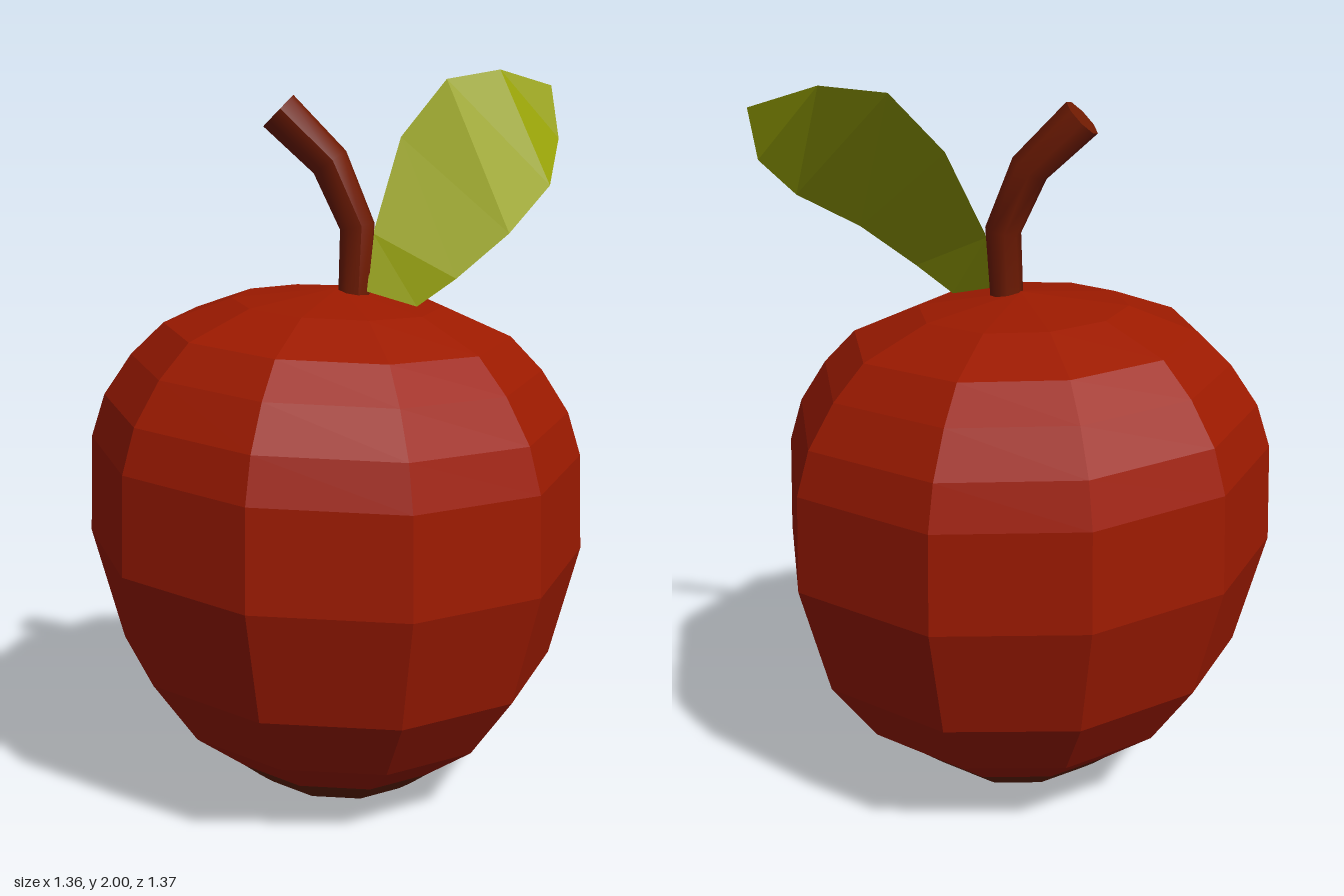
import * as THREE from 'three';

// Flat-faced surface from rows of points; closed rows wrap round.
function skin(rows, closed) {
  const out = [];
  const tri = (a, b, c) => {
    const area = b.clone().sub(a).cross(c.clone().sub(a)).length();
    if (area > 1e-6) out.push(...a.toArray(), ...b.toArray(), ...c.toArray());
  };
  for (let i = 0; i < rows.length - 1; i++) {
    const low = rows[i], high = rows[i + 1], n = low.length;
    for (let j = 0; j < (closed ? n : n - 1); j++) {
      const k = (j + 1) % n;
      tri(low[j], high[j], high[k]);
      tri(low[j], high[k], low[k]);
    }
  }
  const geo = new THREE.BufferGeometry();
  geo.setAttribute('position', new THREE.Float32BufferAttribute(out, 3));
  geo.computeVertexNormals();
  return geo;
}

// Widest cross-section of the fruit (x, z), slightly irregular
const outline = [
  [-0.13, -0.685], [0.27, -0.637], [0.61, -0.32], [0.66, 0.17], [0.4, 0.547],
  [0.02, 0.68], [-0.375, 0.572], [-0.64, 0.267], [-0.68, -0.14], [-0.49, -0.497],
];

// Scale the outline up the [scale, height] profile, with a slight tilt
function fruitBand(profile) {
  return skin(profile.map(([s, y]) => outline.map(([x, z]) =>
    new THREE.Vector3(x * s, y - (0.037 * x + 0.03 * z) * s, z * s))), true);
}

export function createModel() {
  const group = new THREE.Group();
  const material = (name, color, flatShading = true) => {
    const m = new THREE.MeshStandardMaterial({ color, flatShading });
    m.name = name;
    return m;
  };
  const red = material('appleRed', 0x9d1a00);
  const brown = material('baseBrown', 0x642204);
  const bark = material('stemBrown', 0x701b02, false);
  const green = material('leafGreen', 0x959f00);
  green.side = THREE.DoubleSide;

  const add = (name, geo, mat) => {
    const mesh = new THREE.Mesh(geo, mat);
    mesh.name = name;
    group.add(mesh);
  };

  // Fruit body and the brown patch underneath
  add('fruitBody', fruitBand([
    [0.47, 0.1], [0.69, 0.215], [0.88, 0.4], [1, 0.715], [0.985, 0.985],
    [0.93, 1.105], [0.82, 1.22], [0.69, 1.31], [0.42, 1.385], [0, 1.425],
  ]), red);
  add('fruitBase', fruitBand([[0, 0.002], [0.33, 0.025], [0.39, 0.055], [0.47, 0.1]]), brown);

  // Stem: a cylinder bent along a curve in three straight lengths, wider at the tip
  const path = new THREE.CatmullRomCurve3([
    [0.035, 1.37, 0.025], [0.046, 1.59, 0.02], [-0.022, 1.76, -0.012], [-0.155, 1.895, -0.045],
  ].map(p => new THREE.Vector3(...p)));
  const stem = new THREE.CylinderGeometry(0.058, 0.044, 1, 8, 3);
  const pos = stem.attributes.position;
  for (let i = 0; i < pos.count; i++) {
    const t = pos.getY(i) + 0.5;
    const along = path.getTangent(t);
    const front = new THREE.Vector3(0, 0, 1).addScaledVector(along, -along.z).normalize();
    const side = along.clone().cross(front);
    const p = path.getPoint(t)
      .addScaledVector(side, pos.getX(i)).addScaledVector(front, pos.getZ(i));
    pos.setXYZ(i, p.x, p.y, p.z);
  }
  stem.computeVertexNormals();
  add('stem', stem, bark);

  // Leaf: twisted strip between its back and front edges
  const backEdge = [
    [0.06, 1.42, 0.07], [0.09, 1.57, 0.02], [0.2, 1.82, -0.1],
    [0.34, 1.975, -0.133], [0.51, 2.0, -0.173], [0.68, 1.955, -0.215],
  ];
  const frontEdge = [
    [0.18, 1.385, 0.14], [0.28, 1.46, 0.167], [0.43, 1.575, 0.155],
    [0.59, 1.69, 0.03], [0.67, 1.81, -0.12], [0.68, 1.955, -0.215],
  ];
  add('leaf', skin(backEdge.map((b, i) =>
    [new THREE.Vector3(...frontEdge[i]), new THREE.Vector3(...b)]), false), green);

  return group;
}
